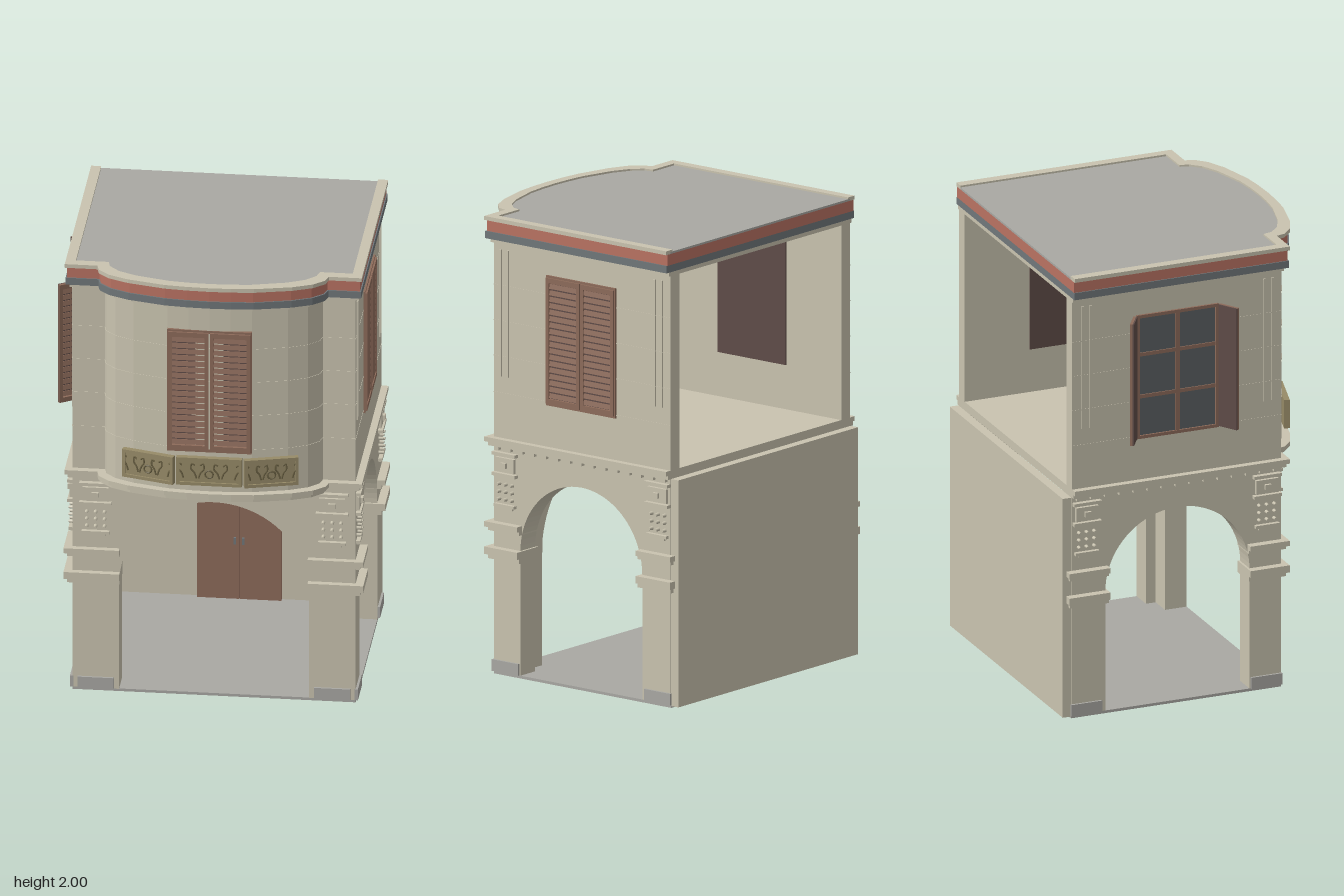
import * as THREE from 'three';

const mat = (name, color, extra = {}) => Object.assign(new THREE.MeshStandardMaterial({ color, ...extra }), { name });

export function createModel() {
  const M = {
    cream: mat('cream plaster', 0xc9c3af), grey: mat('grey stone', 0xa9a8a3),
    red: mat('red band', 0xb97262), slate: mat('slate band', 0x70777a),
    wood: mat('brown wood', 0x8d6b5a), dark: mat('dark wood', 0x5f4c48),
    olive: mat('olive panel', 0x978b68), relief: mat('panel relief', 0x6c6244),
    glass: mat('window glass', 0x5a6062),
  };
  const model = new THREE.Group();
  const CX = 0.025, X0 = -0.58, X1 = 0.63, ZF = 0.4, ZB = -0.565;

  const add = (parent, geo, material, name) => {
    const m = new THREE.Mesh(geo, material);
    m.name = name;
    parent.add(m);
    return m;
  };
  // box given by its minimum and maximum corners
  const box = (parent, name, material, x0, x1, y0, y1, z0, z1) => {
    const m = add(parent, new THREE.BoxGeometry(x1 - x0, y1 - y0, z1 - z0), material, name);
    m.position.set((x0 + x1) / 2, (y0 + y1) / 2, (z0 + z1) / 2);
    return m;
  };
  const group = (parent, name, x = 0, y = 0, z = 0, ry = 0) => {
    const g = new THREE.Group();
    g.name = name;
    g.position.set(x, y, z);
    g.rotation.y = ry;
    parent.add(g);
    return g;
  };

  // bowed plan of the upper storey, offset outward by o (open at the back)
  const bow = [[0.465, 0.4], [0.455, 0.44], [0.41, 0.485], [0.33, 0.522], [0.18, 0.56], [0.09, 0.569]];
  const plan = (o) => {
    const half = [[0.605 + o, ZB], [0.605 + o, ZF + o],
      ...bow.map(([u, z]) => [u * (1 + o / 0.465), z + o])];
    const left = half.map(([u, z]) => new THREE.Vector2(CX - u, -z));
    const right = half.map(([u, z]) => new THREE.Vector2(CX + u, -z)).reverse();
    return [...left, new THREE.Vector2(CX, -(0.572 + o)), ...right];
  };
  const raise = (name, material, pts, y0, y1) => {
    const geo = new THREE.ExtrudeGeometry(new THREE.Shape(pts), { depth: y1 - y0, bevelEnabled: false });
    geo.rotateX(-Math.PI / 2);
    geo.translate(0, y0, 0);
    return add(model, geo, material, name);
  };
  const slab = (name, material, o, y0, y1) => raise(name, material, plan(o), y0, y1);
  const ring = (name, material, o, i, y0, y1) => raise(name, material, [...plan(o), ...plan(i).reverse()], y0, y1);

  // ground floor, back wall and door
  box(model, 'groundFloor', M.grey, X0, X1, 0, 0.012, -0.57, ZF);
  box(model, 'backWall', M.cream, X0, X1, 0.008, 1, -0.608, -0.568);
  const door = group(model, 'door');
  for (const s of [-1, 1]) {
    const a = CX + s * 0.001, b = CX + s * 0.18, h = CX + s * 0.018;
    box(door, 'doorLeaf', M.wood, Math.min(a, b), Math.max(a, b), 0.012, 0.6, -0.568, -0.55);
    box(door, 'doorHandle', M.slate, h - 0.005, h + 0.005, 0.27, 0.3, -0.55, -0.54);
  }

  // arched walls
  const archWall = (a, b, c, r, spring) => {
    const s = new THREE.Shape();
    s.moveTo(a, 0.01);
    s.lineTo(c - r, 0.01);
    s.lineTo(c - r, spring);
    s.absarc(c, spring, r, Math.PI, 0, true);
    s.lineTo(c + r, 0.01);
    s.lineTo(b, 0.01);
    s.lineTo(b, 1);
    s.lineTo(a, 1);
    return new THREE.ExtrudeGeometry(s, { depth: 0.1, bevelEnabled: false, curveSegments: 20 });
  };
  add(model, archWall(X0, X1, CX, 0.405, 0.5), M.cream, 'frontArch').position.z = 0.3;
  for (const x of [X0, X1 - 0.1]) {
    const w = add(model, archWall(-0.3, 0.565, 0.078, 0.333, 0.553), M.cream, 'sideArch');
    w.rotation.y = Math.PI / 2;
    w.position.x = x;
  }

  // stepped pier mouldings
  const steps = [[0.505, 0.525, 0.02], [0.525, 0.557, 0.035], [0.628, 0.645, 0.02], [0.645, 0.668, 0.035]];
  for (const s of [-1, 1]) {
    const side = (name, u0, u1, y0, y1, z0, z1) =>
      box(model, name, M.cream, CX + (s < 0 ? -u1 : u0), CX + (s < 0 ? -u0 : u1), y0, y1, z0, z1);
    for (const [y0, y1, p] of steps) {
      side('frontMoulding', 0.402, 0.605 + p, y0, y1, 0.3, ZF + p * 0.75);
      side('sideMoulding', 0.5, 0.605 + p, y0, y1, 0.245, 0.31);
      side('backMoulding', 0.5, 0.605 + p, y0, y1, -0.567, -0.402);
      side('backMouldingEnd', 0.575, 0.605 + p, y0, y1, -0.57 - p * 0.6, -0.567);
    }
    // dentils below the ledge
    for (let i = 0; i < 15; i++) {
      const z = 0.37 - i * 0.065;
      side('dentil', 0.6, 0.622, 0.985, 1.003, z - 0.009, z + 0.009);
    }
    // paired vertical strips near the upper corners
    for (const z of [0.36, 0.322, -0.48, -0.518])
      side('cornerStrip', 0.6, 0.611, 1.305, 1.86, z - 0.005, z + 0.005);
  }

  // pier ornament: plinth, tablet, studs and bracket, facing local +z
  const pierFace = (x, z, ry, w) => {
    const g = group(model, 'pierOrnament', x, 0, z, ry), h = w / 2;
    const b = (name, hw, y0, y1, d, m = M.cream) => box(g, name, m, -hw, hw, y0, y1, -0.005, d);
    b('plinth', h * 1.12, 0.012, 0.063, 0.01, M.grey);
    b('topStrip', h, 0.962, 0.976, 0.022);
    b('tablet', h * 0.8, 0.89, 0.953, 0.014);
    b('tabletBoss', h * 0.22, 0.91, 0.933, 0.026);
    b('lowerStrip', h, 0.872, 0.886, 0.022);
    b('bracket', h * 0.86, 0.737, 0.75, 0.018);
    b('bracketFoot', h * 0.6, 0.726, 0.737, 0.01);
    for (let r = 0; r < 3; r++) for (let c = -1; c <= 1; c++) {
      const stud = add(g, new THREE.CylinderGeometry(0.006, 0.009, 0.024, 8), M.cream, 'stud');
      stud.rotation.x = Math.PI / 2;
      stud.position.set(c * h * 0.55, 0.836 - r * 0.033, 0.008);
    }
  };
  for (const s of [-1, 1]) {
    pierFace(CX + s * 0.505, ZF, 0, 0.138);
    for (const z of [0.332, -0.5]) pierFace(CX + s * 0.605, z, s * Math.PI / 2, 0.128);
  }

  // upper floor, walls, cornice and roof
  slab('upperFloor', M.cream, 0.018, 0.998, 1.016);
  slab('floorLedge', M.cream, 0.03, 1.016, 1.036);
  ring('upperWalls', M.cream, 0, -0.06, 1.03, 1.89);
  for (const y of [1.23, 1.39, 1.545, 1.7]) ring('courseLine', M.cream, 0.0015, -0.01, y, y + 0.004);
  slab('ceiling', M.cream, 0.01, 1.886, 1.903);
  slab('slateBand', M.slate, 0.026, 1.903, 1.935);
  slab('redBand', M.red, 0.021, 1.935, 1.983);
  slab('roof', M.grey, 0, 1.983, 1.992);
  ring('parapetCap', M.cream, 0.029, -0.014, 1.983, 2);

  // louvred shutter leaf: hinge at x = 0, extends along dir * x, outside is +z
  const leaf = (parent, x, z, ry, dir, w) => {
    const g = group(parent, 'shutterLeaf', x, 0, z, ry), h = 0.55, e = 0.016;
    const b = (name, m, a, c, y0, y1, z0, z1) =>
      box(g, name, m, Math.min(a * dir, c * dir), Math.max(a * dir, c * dir), y0, y1, z0, z1);
    b('shutterBack', M.dark, 0, w, -h / 2, h / 2, -0.006, 0);
    b('stile', M.wood, 0, e, -h / 2, h / 2, 0, 0.012);
    b('stile', M.wood, w - e, w, -h / 2, h / 2, 0, 0.012);
    for (const y of [-h / 2, h / 2 - 0.022]) b('rail', M.wood, e, w - e, y, y + 0.022, 0, 0.012);
    for (let i = 0; i < 18; i++) {
      const slat = b('slat', M.wood, e, w - e, 0, 0.021, 0.001, 0.007);
      slat.position.y = -0.239 + i * 0.0281;
      slat.rotation.x = -0.2;
    }
  };
  const frame = (g, material, w, y0, y1, z0, z1) => {
    const t = 0.014;
    for (const s of [-1, 1]) box(g, 'frameSide', material, s * w - t / 2, s * w + t / 2, y0, y1, z0, z1);
    for (const y of [y0, y1 - t]) box(g, 'frameRail', material, -w, w, y, y + t, z0, z1);
  };
  const shuttered = (name, x, z, ry, w) => {
    const g = group(model, name, x, 1.503, z, ry);
    box(g, 'windowBacking', M.dark, -w, w, -0.28, 0.28, -0.02, 0.002);
    frame(g, M.wood, w - 0.006, -0.284, 0.284, -0.015, 0.008);
    for (const s of [-1, 1]) leaf(g, s * (w - 0.004), 0.004, 0, -s, w - 0.007);
    return g;
  };
  shuttered('frontWindow', CX, 0.566, 0, 0.179);
  shuttered('rightWindow', X1, -0.08, Math.PI / 2, 0.188);
  // inner faces of the window openings
  box(model, 'rightWindowInside', M.dark, X1 - 0.065, X1 - 0.058, 1.23, 1.78, -0.265, 0.108);
  box(model, 'leftWindowInside', M.dark, X0 + 0.058, X0 + 0.065, 1.23, 1.78, -0.265, 0.108);
  box(model, 'frontWindowInside', M.dark, CX - 0.175, CX + 0.175, 1.23, 1.78, 0.492, 0.51);

  // open window on the left side
  const open = group(model, 'leftWindow', X0, 1.503, -0.08, -Math.PI / 2);
  box(open, 'glass', M.glass, -0.18, 0.18, -0.27, 0.27, -0.01, 0.002);
  frame(open, M.wood, 0.182, -0.28, 0.28, -0.01, 0.01);
  box(open, 'mullion', M.wood, -0.01, 0.01, -0.275, 0.275, 0, 0.008);
  for (const y of [-0.09, 0.1]) box(open, 'transom', M.wood, -0.18, 0.18, y - 0.008, y + 0.008, 0, 0.007);
  for (const s of [-1, 1]) leaf(open, s * 0.188, 0, s * 2.13, -s, 0.102);

  // ornamental panels along the bow
  const panel = (u, z, ry, w) => {
    const g = group(model, 'balconyPanel', CX + u, 1.135, z, ry), h = w / 2;
    box(g, 'panelBoard', M.olive, -h, h, -0.064, 0.064, -0.012, 0.006);
    frame(g, M.olive, h - 0.007, -0.064, 0.064, 0, 0.013);
    const ringMesh = add(g, new THREE.TorusGeometry(0.017, 0.004, 6, 14), M.relief, 'rosette');
    ringMesh.position.set(0, -0.012, 0.007);
    for (const s of [-1, 1]) for (const [k, t] of [[0.32, -1], [0.32, 1], [0.68, 1]]) {
      const at = (x, y) => new THREE.Vector3(s * (h * k * 1.1 + x * t), y, 0.007);
      const scroll = new THREE.CatmullRomCurve3([at(h * 0.03, -0.032), at(h * 0.1, -0.005), at(h * 0.2, 0.012), at(h * 0.17, 0.036), at(h * 0.08, 0.028)]);
      add(g, new THREE.TubeGeometry(scroll, 12, 0.004, 5), M.relief, 'scroll');
    }
  };
  panel(0, 0.582, 0, 0.28);
  for (const s of [-1, 1]) panel(s * 0.262, 0.558, s * 0.27, 0.232);

  return model;
}
